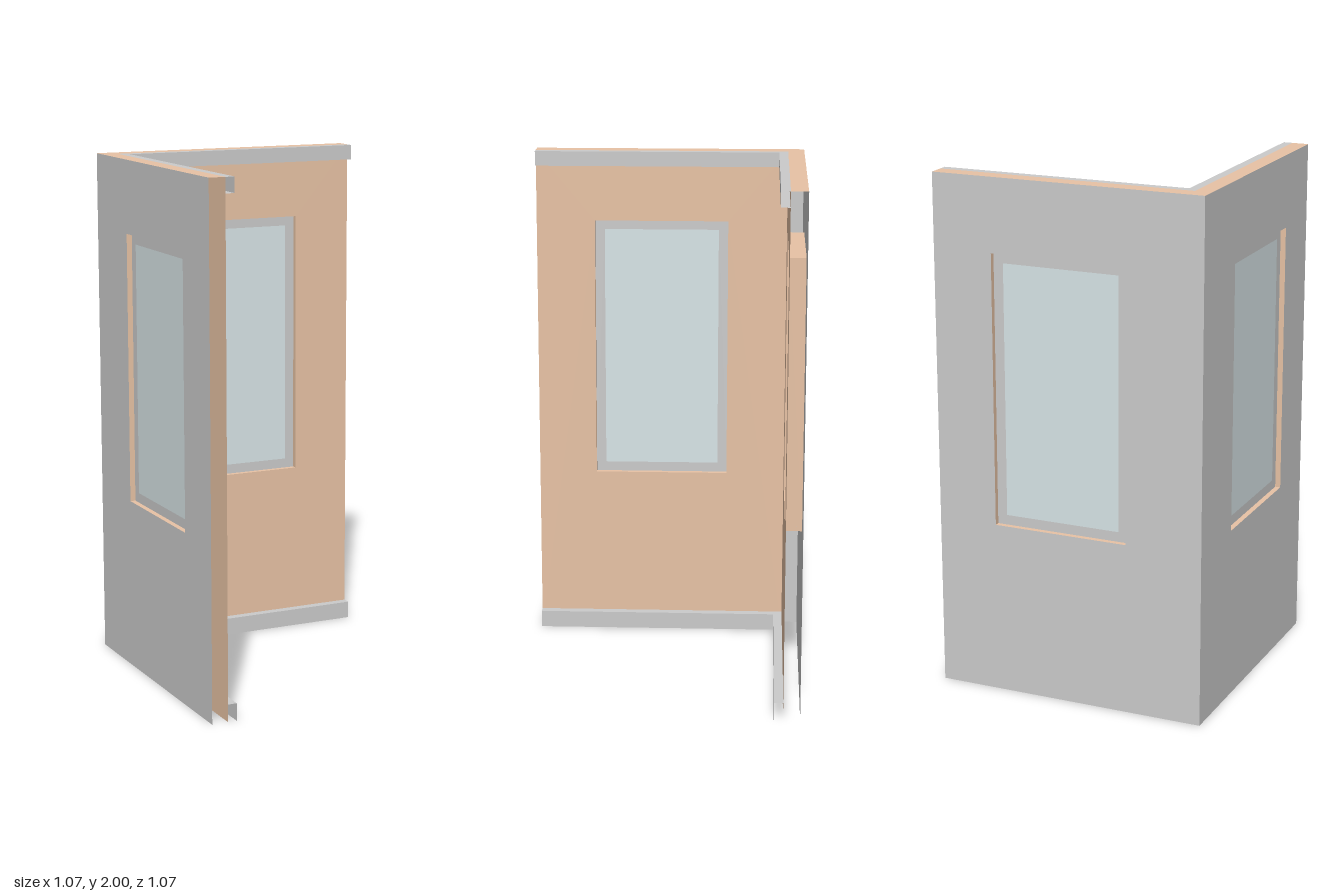
import * as THREE from 'three';

const OUT = -0.534, IN = -0.47, TRIM = -0.435, END = 0.534; // sheet planes and free end
const WIN = { x0: -0.235, x1: 0.3, y0: 0.67, y1: 1.718 };

const material = (color) => new THREE.MeshStandardMaterial({ color, side: THREE.DoubleSide });
const grey = material(0xcccccc), tan = material(0xe8c3a5), glass = material(0xd8e5e7);

function add(group, name, geometry, mat) {
  const mesh = new THREE.Mesh(geometry, mat);
  mesh.name = name;
  group.add(mesh);
  return mesh;
}

function rectPath(target, x0, x1, y0, y1) {
  target.moveTo(x0, y0).lineTo(x1, y0).lineTo(x1, y1).lineTo(x0, y1).closePath();
  return target;
}

// Rectangle with an optional rectangular hole
function rectShape(outer, hole) {
  const shape = rectPath(new THREE.Shape(), ...outer);
  if (hole) shape.holes.push(rectPath(new THREE.Path(), ...hole));
  return shape;
}

// Flat L-shaped strip following both walls at height y
function cornerStrip(group, name, y, a, b, mat) {
  const shape = new THREE.Shape([[a, a], [END, a], [END, b], [b, b], [b, END], [a, END]]
    .map(([x, z]) => new THREE.Vector2(x, z)));
  const geometry = new THREE.ShapeGeometry(shape).rotateX(Math.PI / 2).translate(0, y, 0);
  add(group, name, geometry, mat);
}

// Hollow wall along x with a window; s = -1 mirrors its layout along x
function makeWall(name, s) {
  const wall = new THREE.Group();
  wall.name = name;
  const span = (x0, x1) => (s > 0 ? [x0, x1] : [-x1, -x0]);
  const opening = [...span(WIN.x0, WIN.x1), WIN.y0, WIN.y1];

  // Outer and inner sheets
  add(wall, 'outerSheet',
    new THREE.ShapeGeometry(rectShape([...span(OUT, END), 0, 2], opening)).rotateY(Math.PI)
      .scale(-1, 1, 1).translate(0, 0, OUT), grey);
  add(wall, 'innerSheet',
    new THREE.ShapeGeometry(rectShape([...span(IN, END), 0, 2], opening)).translate(0, 0, IN), tan);

  // Window reveal
  const depth = IN - OUT, mid = (IN + OUT) / 2;
  const [x0, x1, y0, y1] = opening;
  const cx = (x0 + x1) / 2, cy = (y0 + y1) / 2;
  for (const [x, turn] of [[x0, 1], [x1, -1]]) {
    add(wall, 'revealSide', new THREE.PlaneGeometry(depth, y1 - y0)
      .rotateY(turn * Math.PI / 2).translate(x, cy, mid), tan);
  }
  for (const [y, turn] of [[y0, -1], [y1, 1]]) {
    add(wall, 'revealEdge', new THREE.PlaneGeometry(x1 - x0, depth)
      .rotateX(turn * Math.PI / 2).translate(cx, y, mid), tan);
  }

  // Window frame and pane
  const f = 0.038, t = 0.022;
  const pane = [x0 + f, x1 - f, y0 + f, y1 - f];
  add(wall, 'windowFrame',
    new THREE.ExtrudeGeometry(rectShape(opening, pane), { depth: t, bevelEnabled: false })
      .translate(0, 0, mid - t / 2), grey);
  add(wall, 'windowPane',
    new THREE.BoxGeometry(pane[1] - pane[0], pane[3] - pane[2], t).translate(cx, cy, mid), glass);

  // Front faces of the skirting and the top rail
  for (const [part, a, b] of [['skirtingFace', 0, 0.068], ['topRailFace', 1.942, 2]]) {
    add(wall, part,
      new THREE.ShapeGeometry(rectShape([...span(TRIM, END), a, b])).translate(0, 0, TRIM), grey);
  }
  return wall;
}

export function createModel() {
  const model = new THREE.Group();
  model.name = 'cornerWall';

  const back = makeWall('backWall', 1);
  const side = makeWall('sideWall', -1);
  side.rotation.y = Math.PI / 2;
  model.add(back, side);

  // Horizontal faces running around the corner
  cornerStrip(model, 'topCap', 2, OUT, IN, tan);
  cornerStrip(model, 'topRailTop', 2, IN, TRIM, grey);
  cornerStrip(model, 'topRailUnderside', 1.942, IN, TRIM, grey);
  cornerStrip(model, 'skirtingTop', 0.068, IN, TRIM, grey);
  return model;
}
